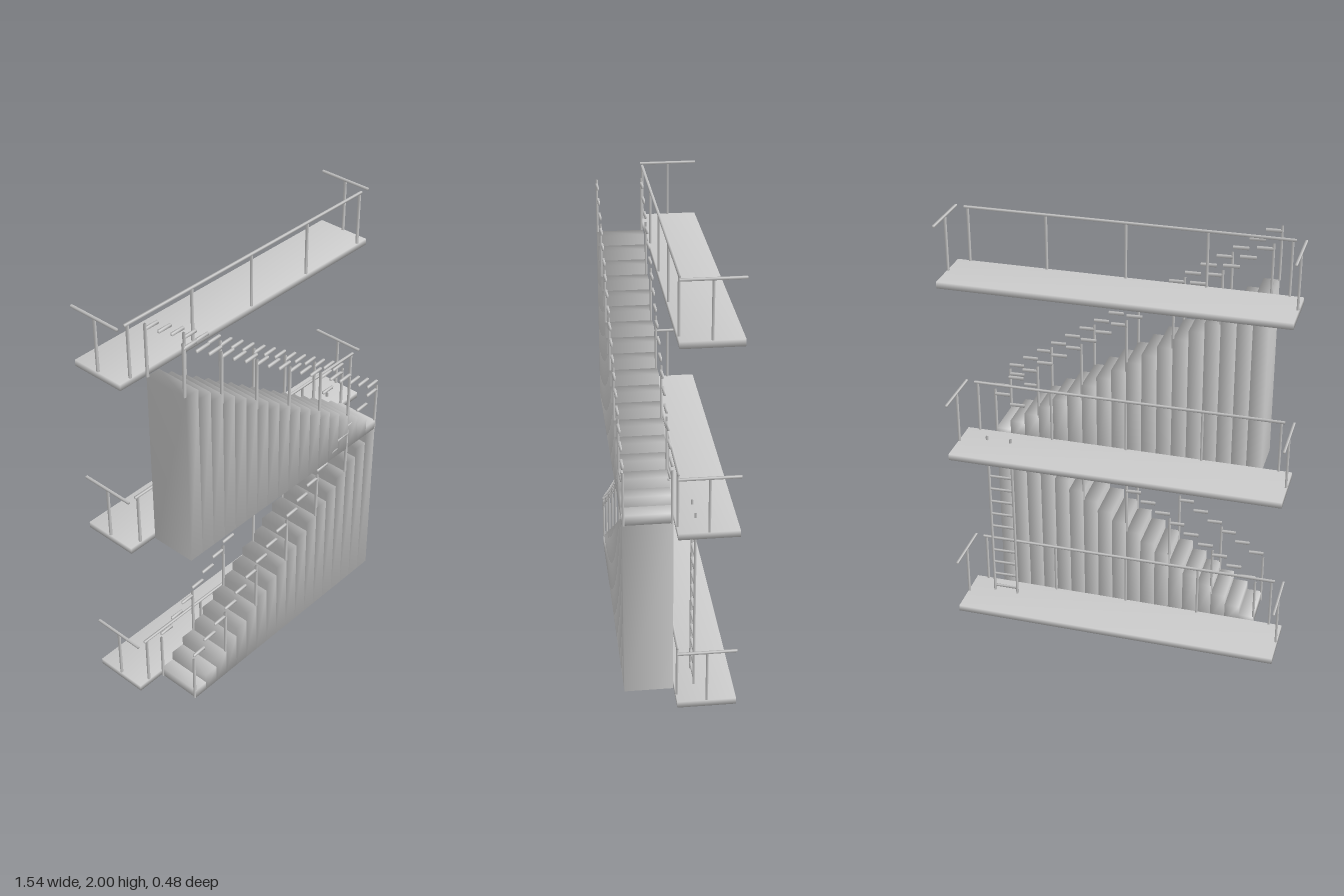
import * as THREE from 'three';
import { mergeVertices } from 'three/addons/utils/BufferGeometryUtils.js';

const material = new THREE.MeshStandardMaterial({ color: 0xcccccc });

// Box given by its min and max corners, with soft shared normals
function addBox(parent, name, [x0, y0, z0], [x1, y1, z1]) {
  let geometry = new THREE.BoxGeometry(x1 - x0, y1 - y0, z1 - z0);
  geometry.deleteAttribute('normal');
  geometry.deleteAttribute('uv');
  geometry = mergeVertices(geometry);
  geometry.computeVertexNormals();
  const mesh = new THREE.Mesh(geometry, material);
  mesh.name = name;
  mesh.position.set((x0 + x1) / 2, (y0 + y1) / 2, (z0 + z1) / 2);
  parent.add(mesh);
}

const BAR = 0.01;          // thickness of posts and rails
const STOREY = 0.857;      // height between landings
const HALF = 0.63;         // half length of a stair flight
const STEPS = 18;
const FRONT = 0.02;        // front edge of the landings
const BACK = -0.24;

function addPost(parent, name, x, z, y0, y1) {
  addBox(parent, name, [x - BAR / 2, y0, z - BAR / 2], [x + BAR / 2, y1, z + BAR / 2]);
}

// Landing slab with a front railing and a short railing at each end
function createLanding(y) {
  const landing = new THREE.Group();
  landing.name = 'landing';
  landing.position.y = y;
  addBox(landing, 'landingFloor', [-0.77, 0, BACK], [0.77, 0.03, FRONT]);

  const top = 0.286, z = FRONT - BAR / 2;
  addBox(landing, 'frontRail', [-0.725, top - BAR, z - BAR / 2], [0.725, top, z + BAR / 2]);
  for (let i = -2; i <= 2; i++) addPost(landing, 'frontRailPost', i * 0.355, z, 0.03, top - BAR);

  for (const side of [-1, 1]) {
    const x = side * 0.765;
    addBox(landing, 'endRail', [x - BAR / 2, top - BAR, BACK], [x + BAR / 2, top, FRONT]);
    addPost(landing, 'endRailPost', x, -0.11, 0.03, top - BAR);
  }
  return landing;
}

// Solid flight climbing towards +x (dir = 1) or -x (dir = -1)
function createFlight(y, dir) {
  const flight = new THREE.Group();
  flight.name = 'stairFlight';
  flight.position.y = y;
  const run = 2 * HALF / STEPS, rise = STOREY / STEPS;
  const railZ = [0.029, 0.235];

  for (let i = 0; i < STEPS; i++) {
    const x = dir * (-HALF + (i + 0.5) * run);
    const height = (i + 1) * rise;
    addBox(flight, 'step', [x - run / 2, 0, 0.023], [x + run / 2, height, 0.24]);
    // Stepped handrail pieces above both edges
    for (const z of railZ) {
      addBox(flight, 'handrailPiece', [x - run / 2, height + 0.22, z - BAR / 2],
        [x + run / 2, height + 0.233, z + BAR / 2]);
    }
  }

  // Handrail posts at every third step
  for (let i = 0; i <= 6; i++) {
    const foot = STOREY * i / 6;
    for (const z of railZ) addPost(flight, 'handrailPost', dir * (-HALF + i * 0.21), z, foot, foot + 0.25);
  }
  return flight;
}

// Ladder joining the two lower landings
function createLadder() {
  const ladder = new THREE.Group();
  ladder.name = 'ladder';
  const x0 = 0.53, x1 = 0.645, z = -0.068;
  for (const x of [x0, x1]) addPost(ladder, 'ladderRail', x, z, 0, 0.905);
  for (let i = 0; i < 12; i++) {
    const y = 0.06 + i * 0.07;
    addBox(ladder, 'rung', [x0, y - 0.005, z - 0.004], [x1, y + 0.005, z + 0.004]);
  }
  return ladder;
}

export function createModel() {
  const model = new THREE.Group();
  model.name = 'fireEscapeStairs';
  for (let i = 0; i < 3; i++) model.add(createLanding(i * STOREY));
  model.add(createFlight(0, 1), createFlight(STOREY, -1), createLadder());
  return model;
}
